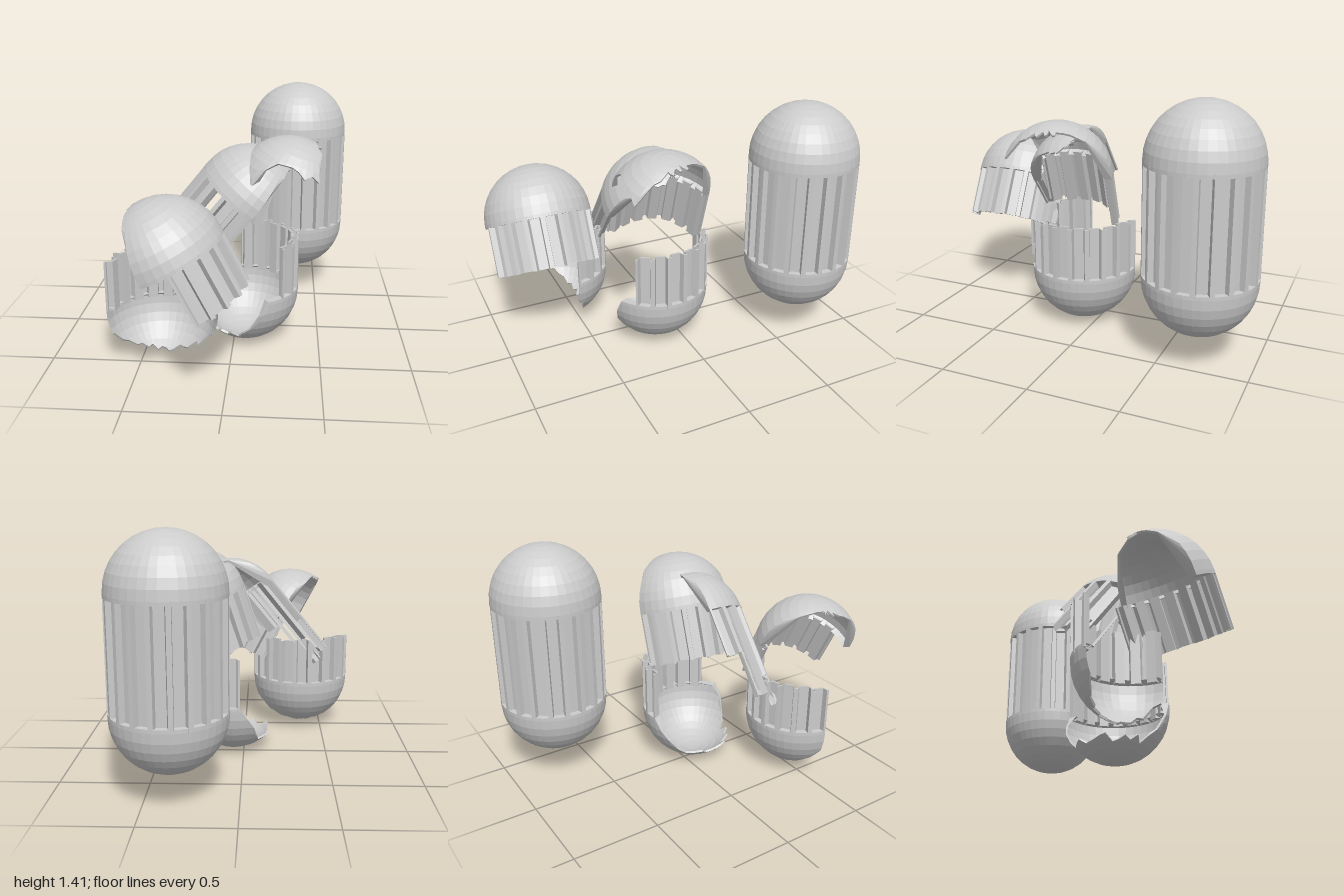
import * as THREE from 'three';

const R = 0.31;        // capsule radius
const GROOVE = 0.033;  // flute depth
const T = 0.012;       // shell thickness
const BAYS = 20;
const COLS = 40;
const LIP = 0.02;
const rad = THREE.MathUtils.degToRad;
const material = new THREE.MeshStandardMaterial({ color: 0xcccccc, flatShading: true, side: THREE.DoubleSide });

// repeatable jitter in -1..1
const jitter = (n) => {
  const s = Math.sin(n * 127.1 + 11.7) * 43758.5453;
  return (s - Math.floor(s)) * 2 - 1;
};

const addMesh = (group, geometry, name) => {
  const mesh = new THREE.Mesh(geometry, material);
  mesh.name = name;
  group.add(mesh);
  return mesh;
};

// lowest elevation kept when a vertical plane removes the side facing dir
const cut = (dir, c, cap = 90) => (phi) => {
  const reach = R * Math.cos(rad(phi - dir));
  if (reach <= c) return 0;
  return Math.min(cap, THREE.MathUtils.radToDeg(Math.acos(c / reach)));
};

// lowest elevation kept when a bite of the given half angle is taken out around dir
const bite = (dir, half, height, ramp) => (phi) => {
  const d = Math.abs(THREE.MathUtils.euclideanModulo(phi - dir + 180, 360) - 180);
  return height * THREE.MathUtils.clamp((half - d) / ramp, 0, 1);
};

const both = (a, b) => (phi) => Math.max(a(phi), b(phi));

// Thick half-sphere shell with a lip, trimmed per column to lo..hi degrees
function domeGeometry(lo, hi, seed) {
  const rows = [[90, R], [80, R], [70, R], [60, R], [50, R], [40, R], [30, R], [20, R], [10, R], [0, R], [-1, R]];
  const ring = [...rows, ...rows.map(([e]) => [e, R - (e < 0 ? GROOVE + T : T)]).reverse()];
  const position = [], index = [], kept = [];
  for (let c = 0; c <= COLS; c++) {
    const phi = (c * 360) / COLS;
    const noise = jitter((c % COLS) + seed) * 6;
    const rawLo = lo(phi), rawHi = hi(phi);
    const low = rawLo > 0 ? THREE.MathUtils.clamp(rawLo + noise, 1, 88) : -1;
    const high = rawHi < 90 ? rawHi + noise : 90;
    kept.push(rawHi > 2 && high > low);
    for (const [e, r] of ring) {
      const elev = Math.min(Math.max(e, low), Math.max(high, low));
      const flat = elev < 0;
      const radius = flat ? r : r < R ? R - T : R;
      const h = radius * (flat ? 1 : Math.cos(rad(elev)));
      position.push(h * Math.sin(rad(phi)), flat ? -LIP : radius * Math.sin(rad(elev)), h * Math.cos(rad(phi)));
    }
  }
  const n = ring.length;
  for (let c = 0; c < COLS; c++) {
    if (!kept[c] || !kept[c + 1]) continue;
    for (let i = 0; i < n; i++) {
      const a = c * n + i, b = c * n + ((i + 1) % n);
      index.push(a, b, b + n, a, b + n, a + n);
    }
  }
  const indexed = new THREE.BufferGeometry();
  indexed.setAttribute('position', new THREE.Float32BufferAttribute(position, 3));
  indexed.setIndex(index);
  const geometry = indexed.toNonIndexed();
  geometry.computeVertexNormals();
  return geometry;
}

// Strip of wall following [degrees, radius] points, hanging down from top
function wallGeometry(points, top, length) {
  const at = ([deg, r]) => new THREE.Vector2(r * Math.sin(rad(deg)), r * Math.cos(rad(deg)));
  const inner = points.map(([d, r]) => [d, r - T]).reverse();
  const shape = new THREE.Shape([...points, ...inner].map(at));
  return new THREE.ExtrudeGeometry(shape, { depth: length, bevelEnabled: false })
    .rotateX(Math.PI / 2).translate(0, top, 0);
}

// One flute: two half ribs with a recessed panel, or an open frame
function addBay(group, k, length, open = false) {
  const bay = new THREE.Group();
  const r = R - GROOVE;
  const left = [[-9, R], [-6.6, R], [-5.6, r]];
  const right = [[5.6, r], [6.6, R], [9, R]];
  bay.name = open ? 'openFlute' : 'flute';
  if (open) {
    addMesh(bay, wallGeometry(left, 0, length), 'rib');
    addMesh(bay, wallGeometry(right, 0, length), 'rib');
    addMesh(bay, wallGeometry([[-6, r], [6, r]], 0.03 - length, 0.03), 'endBar');
  } else {
    addMesh(bay, wallGeometry([...left, ...right], 0, length), 'flutedPanel');
  }
  bay.rotation.y = rad((k * 360) / BAYS);
  group.add(bay);
}

// Half capsule fragment: trimmed dome with the surviving flutes
function fragment({ name, at, tilt = 0, flip = false, lo, hi = () => 90, from, to, length, lengths, open = [], seed }) {
  const group = new THREE.Group();
  group.name = name;
  addMesh(group, domeGeometry(lo, hi, seed), 'brokenDome');
  for (let k = from; k <= to; k++) {
    const l = lengths ? lengths[k - from] : length + jitter(k + seed * 3) * 0.012;
    addBay(group, k, l, open.includes(k));
  }
  group.position.set(...at);
  group.rotation.set(flip ? Math.PI : 0, 0, rad(tilt));
  return group;
}

// Intact capsule
function wholeCapsule() {
  const group = new THREE.Group();
  const length = 0.625;
  group.name = 'wholeCapsule';
  const dome = domeGeometry(() => 0, () => 90, 0);
  addMesh(group, dome, 'upperDome').position.y = length;
  addMesh(group, dome, 'lowerDome').rotation.x = Math.PI;
  const wall = new THREE.Group();
  wall.name = 'flutedWall';
  wall.position.y = length;
  for (let k = 0; k < BAYS; k++) addBay(wall, k, length);
  group.add(wall);
  group.position.set(0.36, 0.475, -0.69);
  return group;
}

export function createModel() {
  const model = new THREE.Group();
  model.name = 'brokenCapsules';
  model.add(
    wholeCapsule(),
    fragment({
      name: 'centreBowl', at: [0.065, 0.312, 0.107], flip: true, seed: 3,
      lo: bite(251, 97, 45, 28), from: 0, to: 7, length: 0.315,
    }),
    fragment({
      name: 'leftBowlHalf', at: [-0.365, 0.325, 0.59], flip: true, seed: 17,
      lo: () => 0, hi: (phi) => 64 * Math.max(0, Math.cos(rad(phi))) ** 0.6,
      from: -4, to: 4, length: 0.295,
    }),
    fragment({
      name: 'frontCap', at: [-0.3, 0.72, 0.695], tilt: 27, seed: 29,
      lo: cut(252, 0.03), from: 1, to: 9, length: 0.3,
    }),
    fragment({
      name: 'leaningCap', at: [0.08, 0.86, 0.11], tilt: -39, seed: 41,
      lo: both(cut(90, 0.05), cut(165, 0.01)), from: -5, to: 0,
      lengths: [0.3, 0.56, 0.45, 0.63, 0.3, 0.25], open: [-4, -2],
    }),
    fragment({
      name: 'topCap', at: [0.3, 0.92, 0.16], tilt: -18, seed: 53,
      lo: both(cut(18, 0.17, 34), cut(108, 0.06)), from: -9, to: -3, length: 0.33,
    }),
  );
  return model;
}
